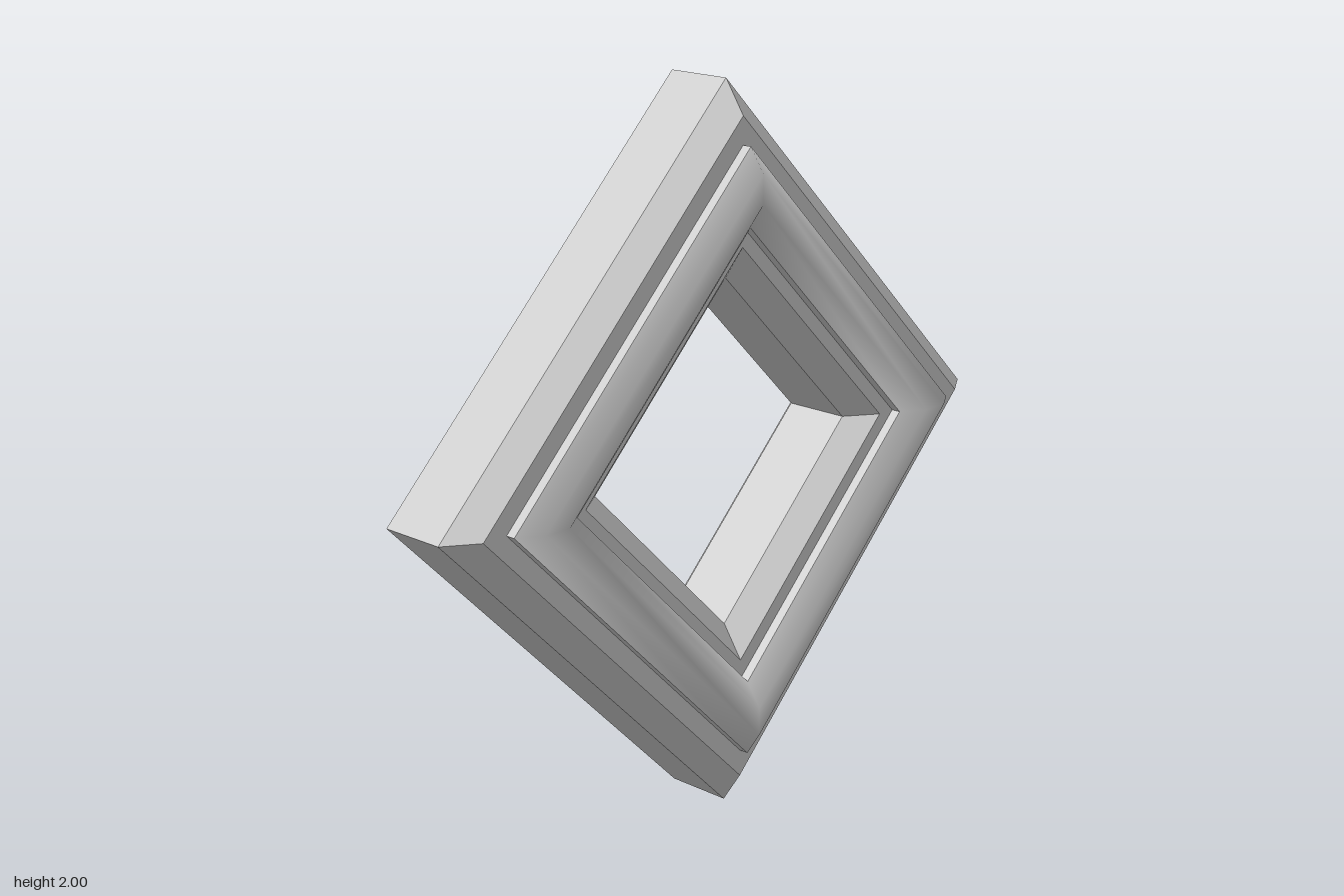
import * as THREE from 'three';

// Four-sided ring turned from [radius, height] points, with its axis laid along x
function ring(name, points, flat, side) {
  const profile = points.map(([r, h]) => new THREE.Vector2(r, h));
  const mesh = new THREE.Mesh(
    new THREE.LatheGeometry(profile, 4),
    new THREE.MeshStandardMaterial({ color: 0xcccccc, flatShading: flat })
  );
  mesh.rotation.z = -side * Math.PI / 2;
  mesh.position.y = 1;
  mesh.name = name;
  return mesh;
}

export function createModel() {
  const model = new THREE.Group();
  model.name = 'diamondFrame';

  // Main frame with chamfered outer and inner edges
  model.add(ring('frame', [
    [1, -0.095], [1, 0.095], [0.91, 0.155], [0.57, 0.155],
    [0.48, 0.095], [0.48, -0.095], [0.57, -0.155], [0.91, -0.155], [1, -0.095],
  ], true, 1));

  // Raised moulding on each face: sharp side walls and a softly shaded crown
  for (const side of [1, -1]) {
    const moulding = new THREE.Group();
    moulding.name = side > 0 ? 'leftMoulding' : 'rightMoulding';
    moulding.add(
      ring('outerWall', [[0.835, 0.14], [0.835, 0.182]], true, side),
      ring('crown', [[0.835, 0.182], [0.77, 0.225], [0.69, 0.225], [0.625, 0.182]], false, side),
      ring('innerWall', [[0.625, 0.182], [0.625, 0.14]], true, side)
    );
    model.add(moulding);
  }
  return model;
}
